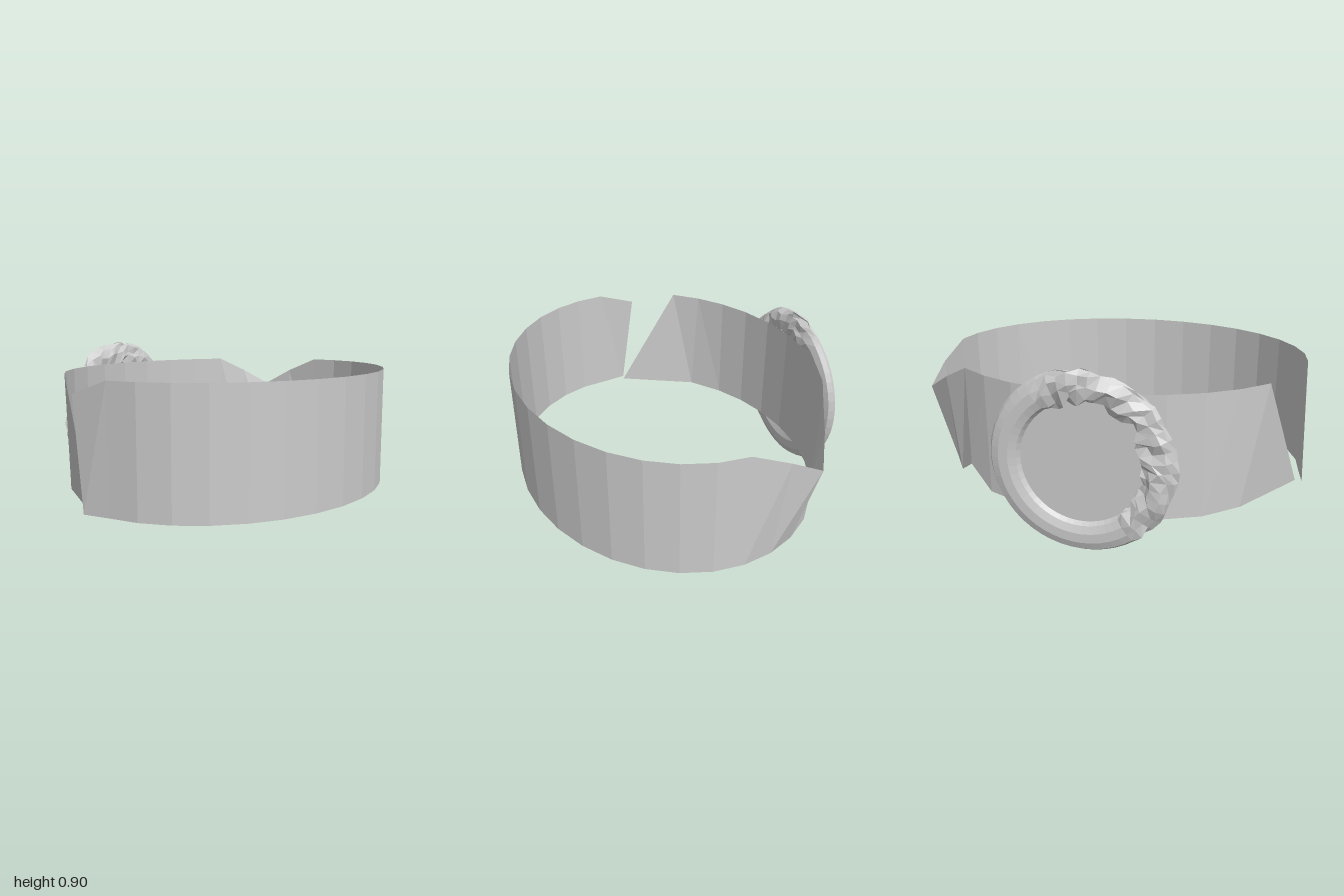
import * as THREE from 'three';

const TOP = 0.782, BOTTOM = 0.16;

// Repeatable noise from a position, -1..1
function noise(a, b, c) {
  const s = Math.sin(Math.round(a * 500) * 12.99 + Math.round(b * 500) * 78.23 + Math.round(c * 500) * 37.72) * 43758.5;
  return (s - Math.floor(s)) * 2 - 1;
}

// Open oval strap: a top and a bottom point per column, some pulled out of line
function bandGeometry() {
  const bentTop = {
    '-1': [-0.165, 0.71, 0.98],
    17: [-0.15, 0.70, -1],
    18: [-0.325, 0.606, -0.995],
    19: [-0.42, 0.70, -0.85],
  };
  const bentBottom = {
    '-1': [-0.09, BOTTOM, 1],
    20: [-0.51, 0.257, -0.695],
    28: [-0.48, 0.168, 0.71],
    29: [-0.08, BOTTOM, 0.965],
  };
  const positions = [], index = [];
  for (let k = -1; k <= 29; k++) {
    const a = k * Math.PI / 16;
    const x = 0.05 + 0.79 * Math.sin(a), z = 0.98 * Math.cos(a);
    positions.push(...(bentTop[k] || [x, TOP, z]), ...(bentBottom[k] || [x, BOTTOM, z]));
    if (k < 29) {
      const i = (k + 1) * 2;
      index.push(i, i + 1, i + 2, i + 1, i + 3, i + 2);
    }
  }
  const g = new THREE.BufferGeometry();
  g.setAttribute('position', new THREE.Float32BufferAttribute(positions, 3));
  g.setIndex(index);
  g.computeVertexNormals();
  return g;
}

// Flattened ring, smooth on one side and roughly carved on the other
function ringGeometry() {
  const R = 0.375, r = 0.075;
  const g = new THREE.TorusGeometry(R, r, 10, 52);
  g.scale(1, 1, 0.5);
  g.rotateY(Math.PI / 2);
  const p = g.attributes.position;
  for (let i = 0; i < p.count; i++) {
    const x = p.getX(i), y = p.getY(i), z = p.getZ(i);
    const angle = Math.atan2(y, z) * 180 / Math.PI;
    const rough = THREE.MathUtils.smoothstep(angle, -56, -46) * (1 - THREE.MathUtils.smoothstep(angle, 112, 124));
    const head = Math.exp(-(((angle - 80) / 22) ** 2));
    const radius = Math.hypot(y, z);
    const outer = radius > R ? 0.012 : 0.03;
    const k = 1 + rough * noise(x, y, z) * outer / radius;
    const dx = rough * noise(z, x, y) * 0.012 - head * (x < 0 ? 0.018 : 0);
    p.setXYZ(i, x + dx, y * k, z * k);
  }
  g.computeVertexNormals();
  return g;
}

export function createModel() {
  const model = new THREE.Group();
  const material = new THREE.MeshStandardMaterial({ color: 0xcccccc, flatShading: true, side: THREE.DoubleSide });
  const add = (name, geometry, parent) => {
    const mesh = new THREE.Mesh(geometry, material);
    mesh.name = name;
    parent.add(mesh);
    return mesh;
  };

  add('strap', bandGeometry(), model);

  // Round medallion on the side of the strap
  const medallion = new THREE.Group();
  medallion.name = 'medallion';
  medallion.position.set(-0.78, 0.453, 0);
  model.add(medallion);
  add('medallionRing', ringGeometry(), medallion);
  const disc = add('medallionDisc', new THREE.CircleGeometry(0.32, 40), medallion);
  disc.rotation.y = -Math.PI / 2;
  disc.position.x = 0.01;

  return model;
}
